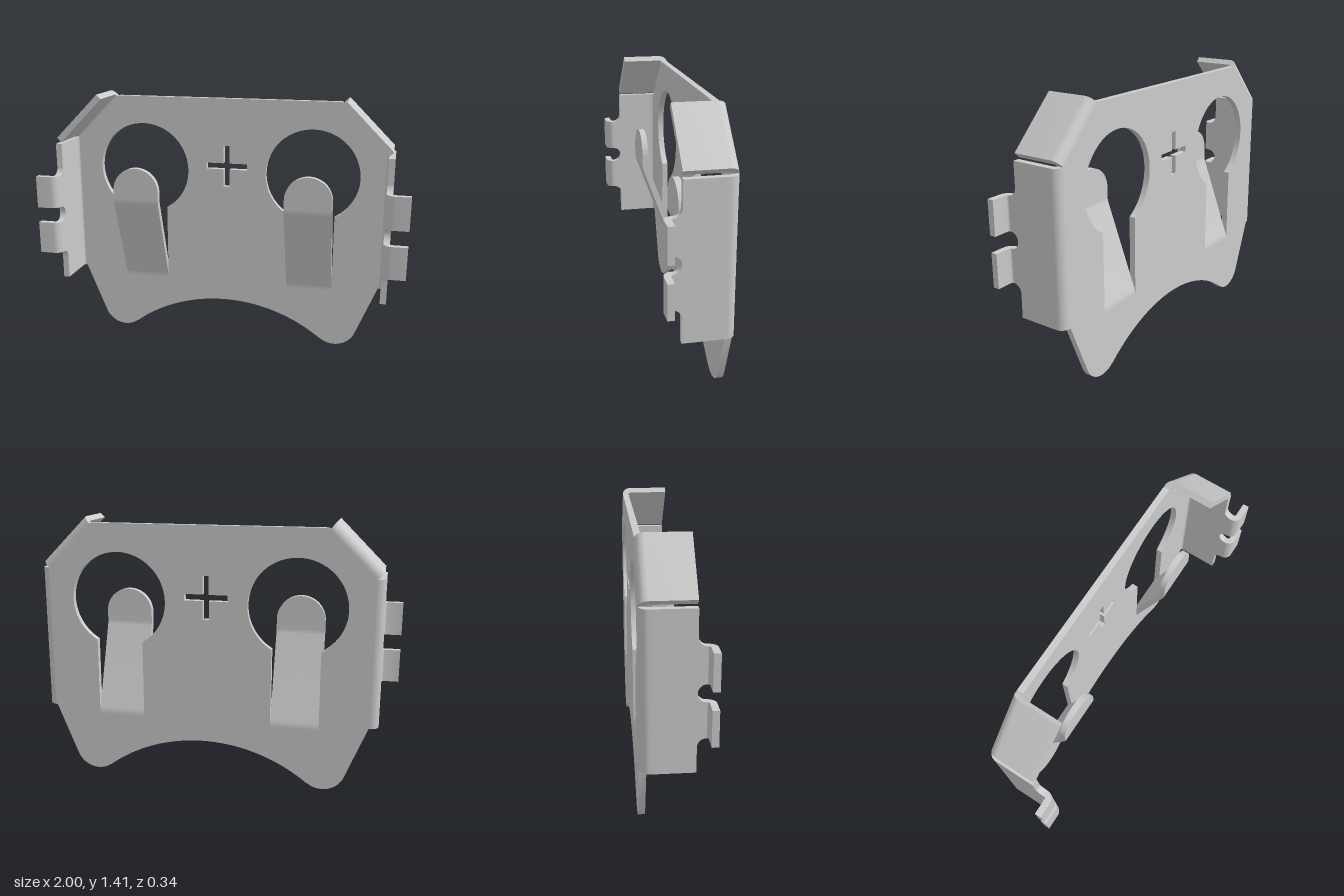
import * as THREE from 'three';
import { toCreasedNormals } from 'three/addons/utils/BufferGeometryUtils.js';

const T = 0.033;          // sheet thickness
const BACK = -0.17;       // rear face of the plate
const MID = BACK + T / 2; // middle of the sheet
const BEND = 0.0285;      // mid-sheet bend radius
const SIDE_Y = 0.7475;    // middle height of the side flanges
const SIDE_X = 0.8935;    // mid-sheet x of the side flanges
const V = (x, y, z = 0) => new THREE.Vector3(x, y, z);
const material = new THREE.MeshStandardMaterial({ color: 0xcccccc });

// Extrude a shape by depth, centred, then place it: u and v are the shape's axes.
function extruded(name, shape, depth, u, v, origin) {
  let g = new THREE.ExtrudeGeometry(shape, { depth, bevelEnabled: false, curveSegments: 32 });
  g.translate(0, 0, -depth / 2);
  const w = u.clone().cross(v);
  g.applyMatrix4(new THREE.Matrix4().makeBasis(u, v, w).setPosition(origin));
  g = toCreasedNormals(g, 0.5);
  const mesh = new THREE.Mesh(g, material);
  mesh.name = name;
  return mesh;
}

// Cross-section of a bent sheet following corner points, corners rounded by radius.
function bentStrip(corners, radius) {
  const pts = corners.map(([a, b]) => new THREE.Vector2(a, b));
  const left = [], right = [];
  const add = (p, n) => {
    left.push(p.clone().addScaledVector(n, T / 2));
    right.push(p.clone().addScaledVector(n, -T / 2));
  };
  const dirs = pts.slice(1).map((p, i) => p.clone().sub(pts[i]).normalize());
  const normal = (d) => new THREE.Vector2(-d.y, d.x);
  add(pts[0], normal(dirs[0]));
  for (let i = 1; i < pts.length - 1; i++) {
    const a = dirs[i - 1], b = dirs[i];
    const turn = Math.atan2(a.cross(b), a.dot(b)), side = Math.sign(turn);
    const start = pts[i].clone().addScaledVector(a, -radius * Math.tan(Math.abs(turn) / 2));
    const n0 = normal(a);
    const centre = start.clone().addScaledVector(n0, side * radius);
    for (let k = 0; k <= 8; k++) {
      const n = n0.clone().rotateAround(new THREE.Vector2(), turn * k / 8);
      add(centre.clone().addScaledVector(n, -side * radius), n);
    }
  }
  add(pts[pts.length - 1], normal(dirs[dirs.length - 1]));
  return new THREE.Shape([...right, ...left.reverse()]);
}

const TONGUE = { x: 0.477, half: 0.128, base: 0.325, capY: 0.877 };

function plateShape() {
  const s = new THREE.Shape();
  const lobe = 0.38, arc = Math.atan2(0.805, 0.63);
  // top edge, clipped corners, feet and the arched lower edge
  s.moveTo(-0.62, 1.38);
  s.lineTo(0.62, 1.38);
  s.lineTo(0.866, 1.134);
  s.lineTo(0.866, 0.36);
  s.lineTo(0.86, 0.36);
  s.absarc(0.63, 0.125, 0.125, -lobe, arc - Math.PI, true);
  s.absarc(0, -0.68, 0.895, arc, Math.PI - arc, false);
  s.absarc(-0.63, 0.125, 0.125, -arc, Math.PI + lobe, true);
  s.lineTo(-0.86, 0.36);
  s.lineTo(-0.866, 0.36);
  s.lineTo(-0.866, 1.134);
  s.closePath();

  // keyhole openings: round hole plus the slot the tongue is cut from
  const r = 0.257, a = Math.asin(TONGUE.half / r);
  for (const m of [-1, 1]) {
    const h = new THREE.Path(), cx = m * TONGUE.x;
    h.moveTo(cx - TONGUE.half, TONGUE.base);
    h.lineTo(cx + TONGUE.half, TONGUE.base);
    h.absarc(cx, 0.973, r, -Math.PI / 2 + a, Math.PI * 1.5 - a, false);
    h.closePath();
    s.holes.push(h);
  }

  // cross-shaped opening
  const L = 0.115, w = 0.017;
  const cross = [[-w, -L], [w, -L], [w, -w], [L, -w], [L, w], [w, w],
    [w, L], [-w, L], [-w, w], [-L, w], [-L, -w], [-w, -w]];
  s.holes.push(new THREE.Path(cross.map(([x, y]) => new THREE.Vector2(x, y + 1.006))));
  return s;
}

// Side flange drawn with u = height from its middle, v = z: two necks with rounded notches.
function flangeShape() {
  const s = new THREE.Shape(), edge = 0.085, r = 0.0425, z = edge + r, out = 0.2175;
  s.moveTo(-0.3875, -0.1);
  s.lineTo(0.3875, -0.1);
  s.lineTo(0.3875, edge);
  s.lineTo(out + r, edge);
  s.absarc(out + r, z, r, -Math.PI / 2, -Math.PI, true);
  s.lineTo(r, z);
  s.absarc(0, z, r, 0, -Math.PI, true);
  s.lineTo(-out, z);
  s.absarc(-out - r, z, r, 0, -Math.PI / 2, true);
  s.lineTo(-0.3875, edge);
  s.closePath();
  return s;
}

export function createModel() {
  const model = new THREE.Group();
  model.name = 'sheetMetalBracket';
  const X = V(1, 0, 0), Y = V(0, 1, 0), Z = V(0, 0, 1);

  model.add(extruded('plate', plateShape(), T, X, Y, V(0, 0, MID)));

  for (const m of [-1, 1]) {
    const side = m > 0 ? 'left' : 'right';
    const outward = V(m, 0, 0);

    // side flange with its bend and two outturned tabs
    const flange = new THREE.Group();
    flange.name = side + 'SideFlange';
    const bend = bentStrip([[MID, 0.866], [MID, SIDE_X], [-0.1, SIDE_X]], 0.0275);
    flange.add(extruded('flangeBend', bend, 0.775, Z, outward, V(0, SIDE_Y, 0)));
    flange.add(extruded('flangeWall', flangeShape(), T, Y, Z, V(m * SIDE_X, SIDE_Y, 0)));
    const tab = bentStrip([[0.1275, SIDE_X], [-MID, SIDE_X], [-MID, 1]], 0.026);
    for (const k of [-1, 1]) {
      flange.add(extruded('tab', tab, 0.175, Z, outward, V(0, SIDE_Y + k * 0.13, 0)));
    }
    model.add(flange);

    // diagonal flange across the upper corner
    const corner = bentStrip([[MID, Math.SQRT2], [MID, 1.446], [0.085, 1.446]], BEND);
    const diagonal = V(m, 1, 0).normalize();
    model.add(extruded(side + 'CornerFlange', corner, 0.34, Z, diagonal, V(-m * 0.254, 0.254, 0)));

    // spring tongue bent forward, with a rounded upright end
    const tongue = new THREE.Group();
    tongue.name = side + 'Tongue';
    const strip = bentStrip([[TONGUE.base, MID], [0.345, MID], [0.81, T / 2], [TONGUE.capY, T / 2]], 0.08);
    tongue.add(extruded('tongueStrip', strip, TONGUE.half * 2, Y, Z, V(m * TONGUE.x, 0, 0)));
    const cap = new THREE.Shape();
    cap.absarc(0, 0, TONGUE.half, 0, Math.PI, false);
    cap.closePath();
    tongue.add(extruded('tongueTip', cap, T, X, Y, V(m * TONGUE.x, TONGUE.capY, T / 2)));
    model.add(tongue);
  }
  return model;
}
